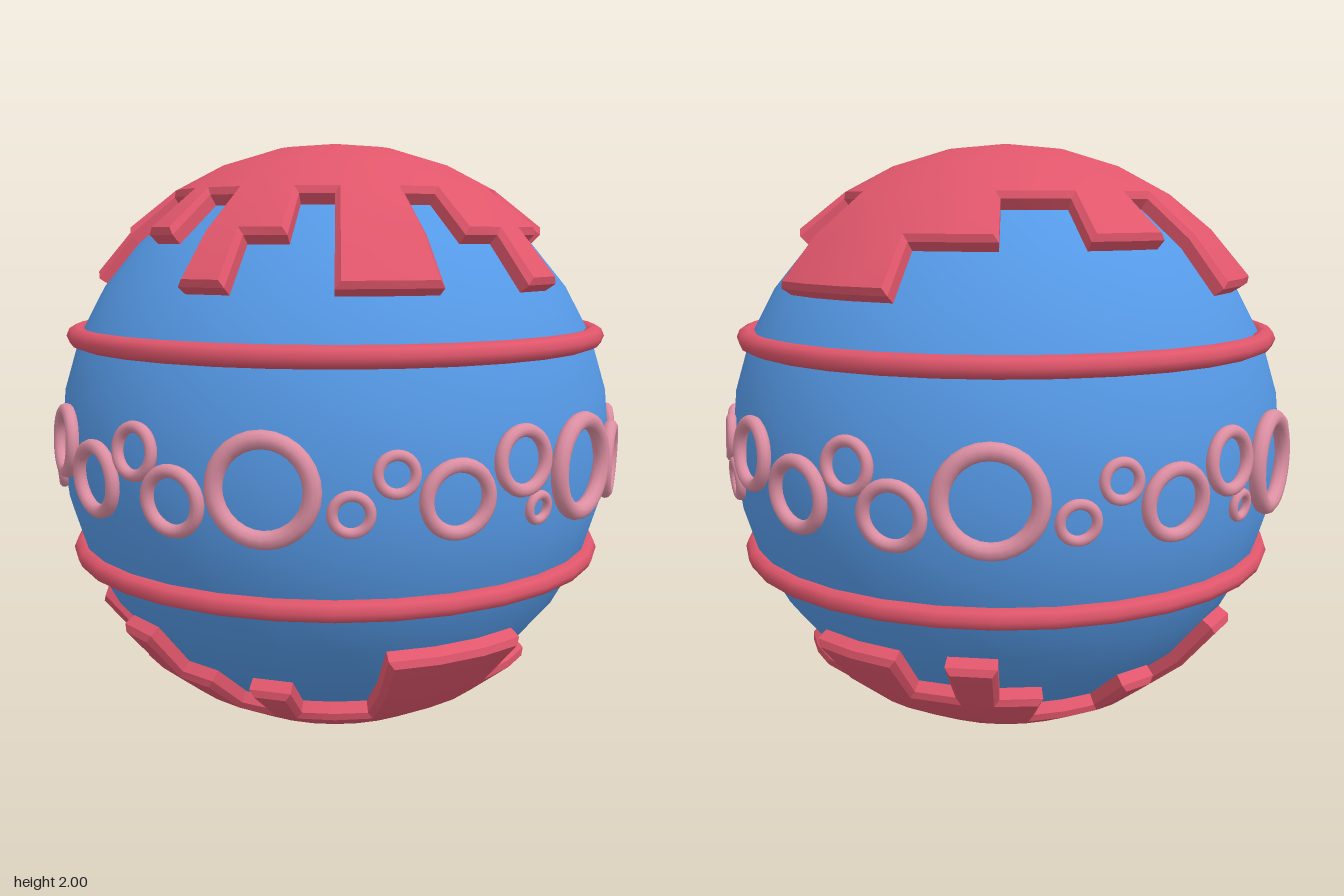
import * as THREE from 'three';
import { toCreasedNormals } from 'three/addons/utils/BufferGeometryUtils.js';

const STEP = Math.PI / 16; // the shells follow a grid of 32 columns
const COLS = 32;
const BALL_R = 0.942;
const SHELL_R = 0.998;

const mat = (color) => new THREE.MeshStandardMaterial({ color });

function polar(r, theta, phi, flip) {
  return [r * Math.sin(theta) * Math.cos(phi), flip * r * Math.cos(theta), r * Math.sin(theta) * Math.sin(phi)];
}

// Notched shell around a pole: each digit is how many extra rows that column reaches down
function notchedCap(digits, flip) {
  const rows = [...digits].map((d) => 3 + Number(d));
  const filled = (i, j) => j < rows[(i + COLS) % COLS];
  const pos = [];
  const tri = (a, b, c) => pos.push(...a, ...(flip > 0 ? [...b, ...c] : [...c, ...b]));
  const quad = (a, b, c, d) => { tri(a, b, c); tri(a, c, d); };

  const edgePoint = (r) => ([i, j]) => polar(r, j * STEP, i * STEP, flip);
  const base = edgePoint(0.925);
  const shoulder = edgePoint(SHELL_R - 0.017);
  // top surface, pulled in along the outline to leave a bevel
  const top = ([i, j]) => {
    if (j === 0) return polar(SHELL_R, 0, 0, flip);
    let u = 0, v = 0;
    for (const di of [-1, 0]) for (const dj of [-1, 0]) {
      if (filled(i + di, j + dj)) { u += di * 2 + 1; v += dj * 2 + 1; }
    }
    const theta = j * STEP;
    const inset = 0.017;
    return polar(SHELL_R, theta + Math.sign(v) * inset, i * STEP + Math.sign(u) * inset / Math.sin(theta), flip);
  };

  for (let i = 0; i < COLS; i++) {
    for (let j = 0; j < rows[i]; j++) {
      const c = [[i, j], [i + 1, j], [i + 1, j + 1], [i, j + 1]];
      if (j === 0) tri(top(c[0]), top(c[2]), top(c[3]));
      else quad(...c.map(top));
      // bevel and wall wherever the next cell is empty
      const open = [false, !filled(i + 1, j), !filled(i, j + 1), !filled(i - 1, j)];
      open.forEach((isOpen, k) => {
        if (!isOpen) return;
        const p = c[k], q = c[(k + 1) % 4];
        quad(top(p), shoulder(p), shoulder(q), top(q));
        quad(shoulder(p), base(p), base(q), shoulder(q));
      });
    }
  }
  const geo = new THREE.BufferGeometry();
  geo.setAttribute('position', new THREE.Float32BufferAttribute(pos, 3));
  return toCreasedNormals(geo, 0.5);
}

export function createModel() {
  const model = new THREE.Group();
  model.name = 'ornateBall';
  const blue = mat(0x5599e6), red = mat(0xe0566b), pink = mat(0xdd8fa3);

  const add = (name, geo, material, parent = model) => {
    const mesh = new THREE.Mesh(geo, material);
    mesh.name = name;
    parent.add(mesh);
    return mesh;
  };

  add('ball', new THREE.SphereGeometry(BALL_R, 32, 16), blue).position.y = 1;

  // Columns run from the left side (+x) round to the front (+z)
  add('topCap', notchedCap('12102201' + '20100121' + '22011001' + '12220010', 1), red).position.y = 1;
  add('bottomCap', notchedCap('11222001' + '01210210' + '12010012' + '12201100', -1), red).position.y = 1;

  // Raised bands above and below the middle
  for (const side of [1, -1]) {
    const band = add(side > 0 ? 'upperBand' : 'lowerBand', new THREE.TorusGeometry(0.88, 0.034, 8, 32), red);
    band.rotation.x = Math.PI / 2;
    band.position.y = 1 + side * 0.363;
  }

  // Chain of small rings: [angle in degrees, height from the middle, outer radius]
  const chain = [
    [79.7, 0, 0.17], [64.7, -0.065, 0.07], [57, 0.045, 0.07], [46, -0.035, 0.12],
    [32.3, 0.055, 0.108], [28, -0.095, 0.053], [15, 0, 0.168], [-5, -0.035, 0.13],
    [-17.5, 0.043, 0.08], [-28, 0.04, 0.08], [-35.3, -0.073, 0.073], [-46.8, 0.045, 0.12],
    [-62.5, -0.035, 0.123], [-74.3, 0.075, 0.09], [-83, -0.055, 0.11],
  ];
  const rings = new THREE.Group();
  rings.name = 'ringChain';
  rings.position.y = 1;
  model.add(rings);
  const forward = new THREE.Vector3(0, 0, 1);
  for (const half of [0, 180]) {
    for (const [deg, y, outer] of chain) {
      const tube = 0.008 + outer * 0.115;
      const dir = new THREE.Vector3(...polar(1, Math.PI / 2 - Math.asin(y / 0.945), (deg + half) * Math.PI / 180, 1));
      const ring = add('smallRing', new THREE.TorusGeometry(outer - tube, tube, 10, 28), pink, rings);
      ring.position.copy(dir).multiplyScalar(0.945);
      ring.quaternion.setFromUnitVectors(forward, dir);
    }
  }
  return model;
}
